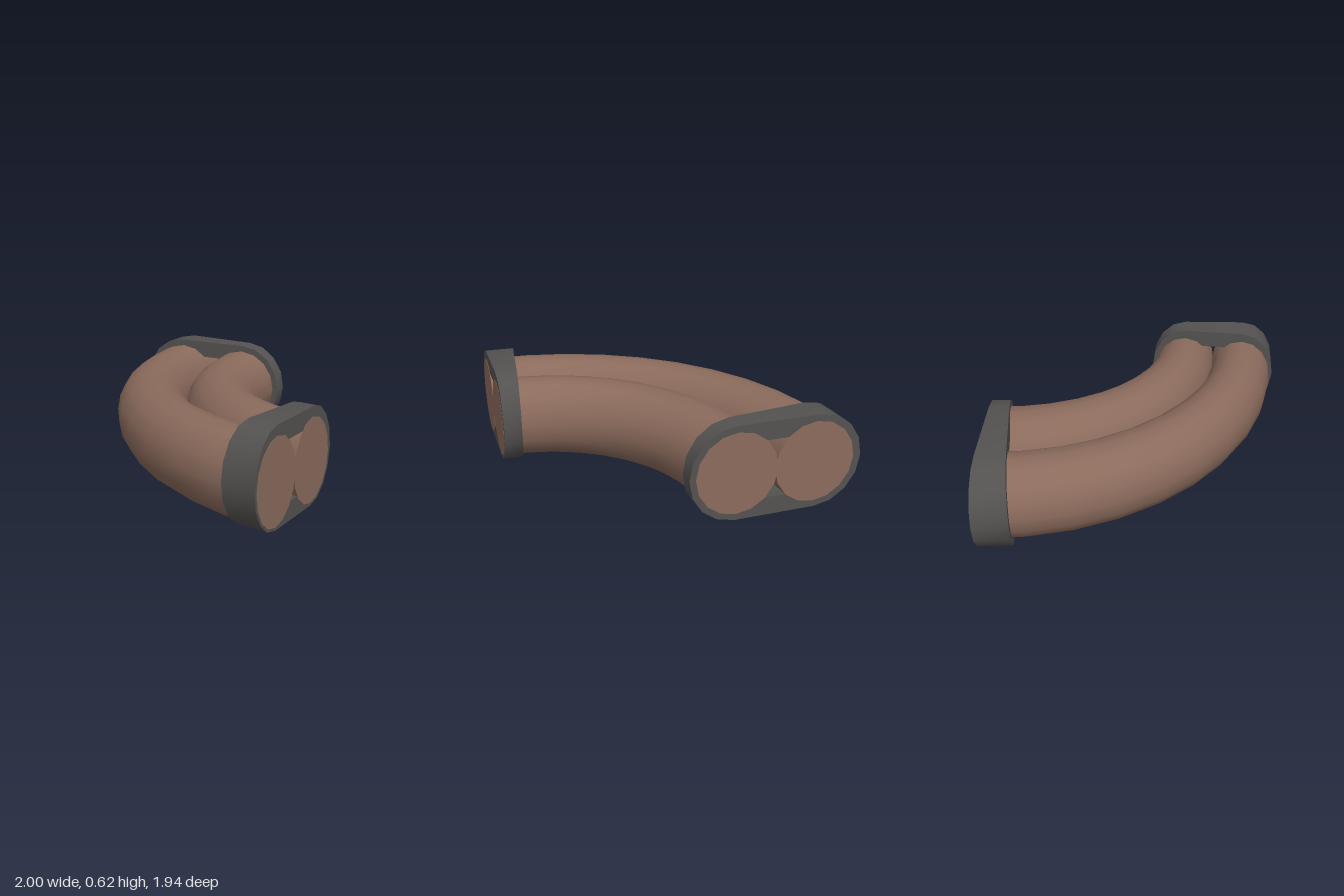
import * as THREE from 'three';
import { toCreasedNormals } from 'three/addons/utils/BufferGeometryUtils.js';

const TAU = Math.PI * 2;
const CENTRE = { x: 1, z: -0.97 }; // pivot of the quarter bend

// point on the bend: ra, rb are the distances from the pivot along -x and +z
const bendPoint = (angle, ra, rb, y) =>
  [CENTRE.x - ra * Math.cos(angle), y, CENTRE.z + rb * Math.sin(angle)];

// join equal-length rings into a skin, either capped or looped back to the start
function loft(rings, looped) {
  const n = rings[0].length;
  const pos = rings.flat(2);
  const index = [];
  const steps = looped ? rings.length : rings.length - 1;
  for (let i = 0; i < steps; i++) {
    const k = (i + 1) % rings.length;
    for (let j = 0; j < n; j++) {
      const a = i * n + j, b = i * n + (j + 1) % n;
      const d = k * n + j, c = k * n + (j + 1) % n;
      index.push(a, d, c, a, c, b);
    }
  }
  if (!looped) {
    const last = (rings.length - 1) * n;
    for (let j = 1; j < n - 1; j++) {
      index.push(0, j, j + 1, last, last + j + 1, last + j);
    }
  }
  const geo = new THREE.BufferGeometry();
  geo.setAttribute('position', new THREE.Float32BufferAttribute(pos, 3));
  geo.setIndex(index);
  return toCreasedNormals(geo, 0.7);
}

// one curved pipe whose section changes slightly from the back end to the side end
function pipeGeometry(centreA, centreB) {
  const rings = [], steps = 10, sides = 16, lip = 0.0015;
  for (let i = 0; i <= steps; i++) {
    const f = i / steps;
    const angle = -lip + f * (Math.PI / 2 + 2 * lip);
    const y = THREE.MathUtils.lerp(0.308, 0.286, f);
    const ring = [];
    for (let j = 0; j < sides; j++) {
      const t = j / sides * TAU;
      ring.push(bendPoint(angle, centreA + 0.26 * Math.cos(t),
        centreB + 0.216 * Math.cos(t), y + 0.267 * Math.sin(t)));
    }
    rings.push(ring);
  }
  return loft(rings, false);
}

// rounded slot outline placed at one angle of the bend
function slotRing(angle, centre, half, corner, height) {
  const ring = [], seg = 8;
  for (const side of [1, -1]) {
    for (let j = 0; j <= seg; j++) {
      const t = -Math.PI / 2 + j / seg * Math.PI;
      const r = centre + side * (half - corner + corner * Math.cos(t));
      ring.push(bendPoint(angle, r, r, 0.308 + side * height * Math.sin(t)));
    }
  }
  return ring;
}

// wedge-shaped collar with a slot through it
function collarGeometry(from, to, centre, half, corner, holeHalf, holeCorner) {
  const outer = a => slotRing(a, centre, half, corner, 0.308);
  const inner = a => slotRing(a, centre, holeHalf, holeCorner, 0.19);
  return loft([outer(from), outer(to), inner(to), inner(from)], true);
}

export function createModel() {
  const brown = new THREE.MeshStandardMaterial({ color: 0x8b6b5c });
  brown.name = 'brown';
  const grey = new THREE.MeshStandardMaterial({ color: 0x545250 });
  grey.name = 'dark grey';

  const model = new THREE.Group();
  model.name = 'doublePipeBend';
  const add = (name, geometry, material) => {
    const mesh = new THREE.Mesh(geometry, material);
    mesh.name = name;
    model.add(mesh);
  };

  // pipes
  add('outerPipe', pipeGeometry(1.69, 1.705), brown);
  add('innerPipe', pipeGeometry(1.19, 1.288), brown);

  // end collars
  const wedge = 0.111, quarter = Math.PI / 2;
  add('backCollar', collarGeometry(0, wedge, 1.445, 0.555, 0.295, 0.435, 0.19), grey);
  add('sideCollar', collarGeometry(quarter - wedge, quarter, 1.492, 0.448, 0.235, 0.35, 0.155), grey);
  return model;
}
